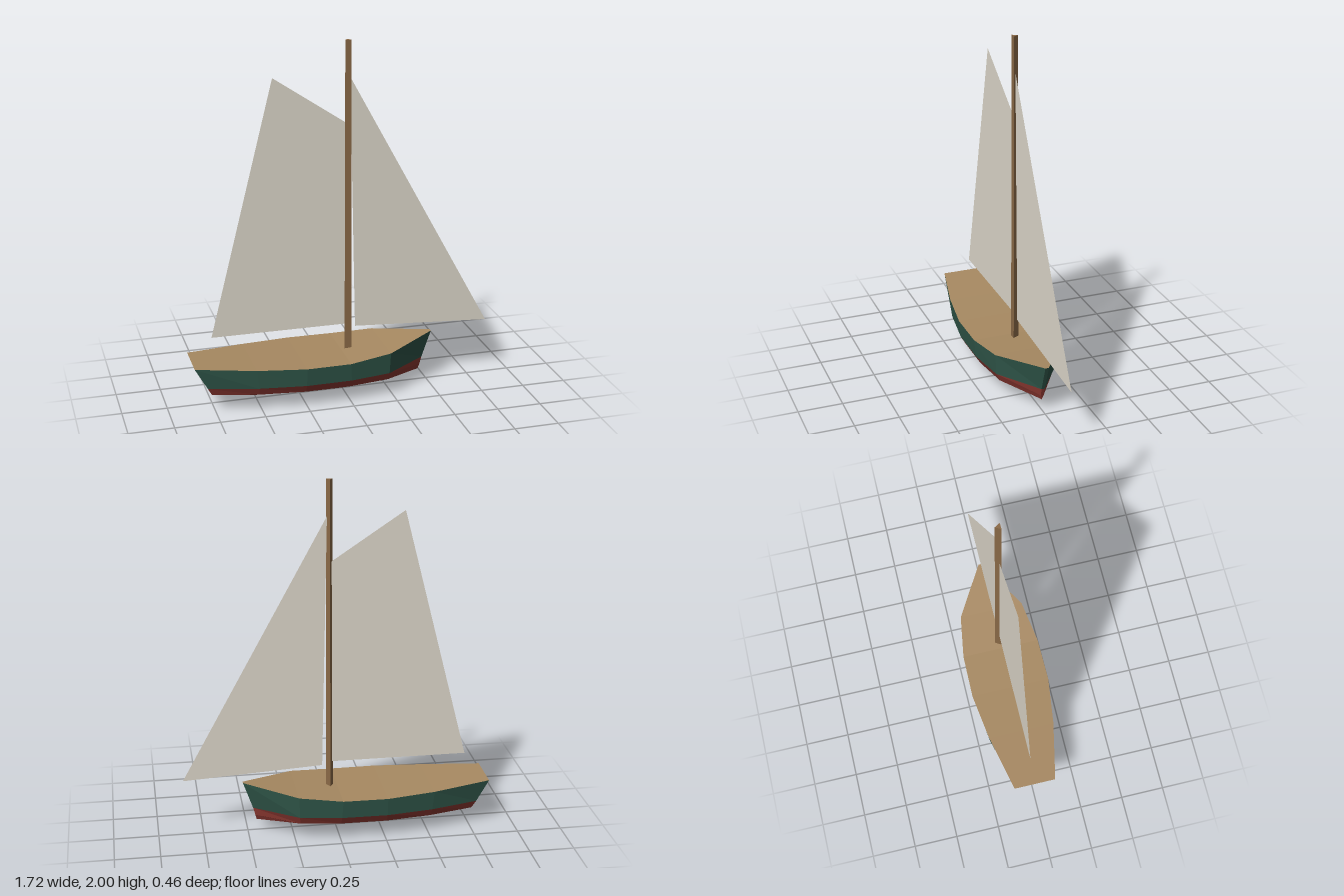
import * as THREE from 'three';

// Hull stations from stern to bow: [x, y, half width] for each level
const DECK = [[-0.86, 0.265, 0.12], [-0.53, 0.25, 0.193], [-0.26, 0.243, 0.23], [-0.01, 0.243, 0.227], [0.23, 0.262, 0.188], [0.523, 0.295, 0.01]];
const BAND_X = [-0.79, -0.52, -0.26, -0.005, 0.225, 0.469];
const CHINE_X = [-0.766, -0.515, -0.26, -0.003, 0.222, 0.457];
const KEEL = [[-0.75, 0.065, 0], [-0.51, 0.018, 0], [-0.26, 0.003, 0], [0, 0, 0], [0.22, 0.02, 0], [0.45, 0.065, 0]];
const BAND = DECK.map((s, i) => [BAND_X[i], 0.14, s[2] * 0.96]);
const CHINE = DECK.map((s, i) => [CHINE_X[i], 0.095, s[2] * 0.85]);

const side = (level, sign) => level.map(([x, y, w]) => [x, y, w * sign]);

// Triangles between an upper and a lower row of points, read left to right
function strip(upper, lower) {
  const out = [];
  for (let i = 0; i < upper.length - 1; i++) {
    const [a, b, c, d] = [upper[i], lower[i], lower[i + 1], upper[i + 1]];
    out.push(...a, ...b, ...c, ...a, ...c, ...d);
  }
  return out;
}

// Closed belt between two levels: both sides, transom and stem
function belt(top, low) {
  const [tl, tr, ll, lr] = [side(top, 1), side(top, -1), side(low, 1), side(low, -1)];
  const n = top.length - 1;
  return [
    ...strip(tl, ll),
    ...strip([...tr].reverse(), [...lr].reverse()),
    ...strip([tr[0], tl[0]], [lr[0], ll[0]]),
    ...strip([tl[n], tr[n]], [ll[n], lr[n]]),
  ];
}

function flatMesh(name, points, color) {
  const geo = new THREE.BufferGeometry();
  geo.setAttribute('position', new THREE.Float32BufferAttribute(points, 3));
  geo.computeVertexNormals();
  const mesh = new THREE.Mesh(geo, new THREE.MeshStandardMaterial({ color, flatShading: true }));
  mesh.name = name;
  return mesh;
}

function sail(name, corners) {
  const shape = new THREE.Shape(corners.map(([x, y]) => new THREE.Vector2(x, y)));
  const mesh = new THREE.Mesh(
    new THREE.ShapeGeometry(shape),
    new THREE.MeshStandardMaterial({ color: 0xe0dacd, side: THREE.DoubleSide }),
  );
  mesh.name = name;
  return mesh;
}

export function createModel() {
  const boat = new THREE.Group();
  boat.name = 'sailboat';

  // Hull
  const hull = new THREE.Group();
  hull.name = 'hull';
  hull.add(
    flatMesh('topsides', belt(DECK, BAND), 0x2f5548),
    flatMesh('waterlineBand', belt(BAND, CHINE), 0x8c3831),
    flatMesh('bottom', belt(CHINE, KEEL), 0x8c3831),
    flatMesh('deck', strip(side(DECK, -1), side(DECK, 1)), 0xa88a62),
  );
  boat.add(hull);

  // Three-sided mast, slightly tapered, standing in the deck
  const mast = new THREE.Mesh(
    new THREE.CylinderGeometry(0.02, 0.024, 1.78, 3),
    new THREE.MeshStandardMaterial({ color: 0x8b6a47, flatShading: true }),
  );
  mast.name = 'mast';
  mast.rotation.y = Math.PI;
  mast.position.set(0.032, 1.11, 0);
  boat.add(mast);

  // Sails
  boat.add(
    sail('mainSail', [[-0.742, 0.39], [0.02, 0.39], [0.02, 1.552], [-0.38, 1.818]]),
    sail('headSail', [[0.075, 0.37], [0.855, 0.325], [0.045, 1.8]]),
  );
  return boat;
}
